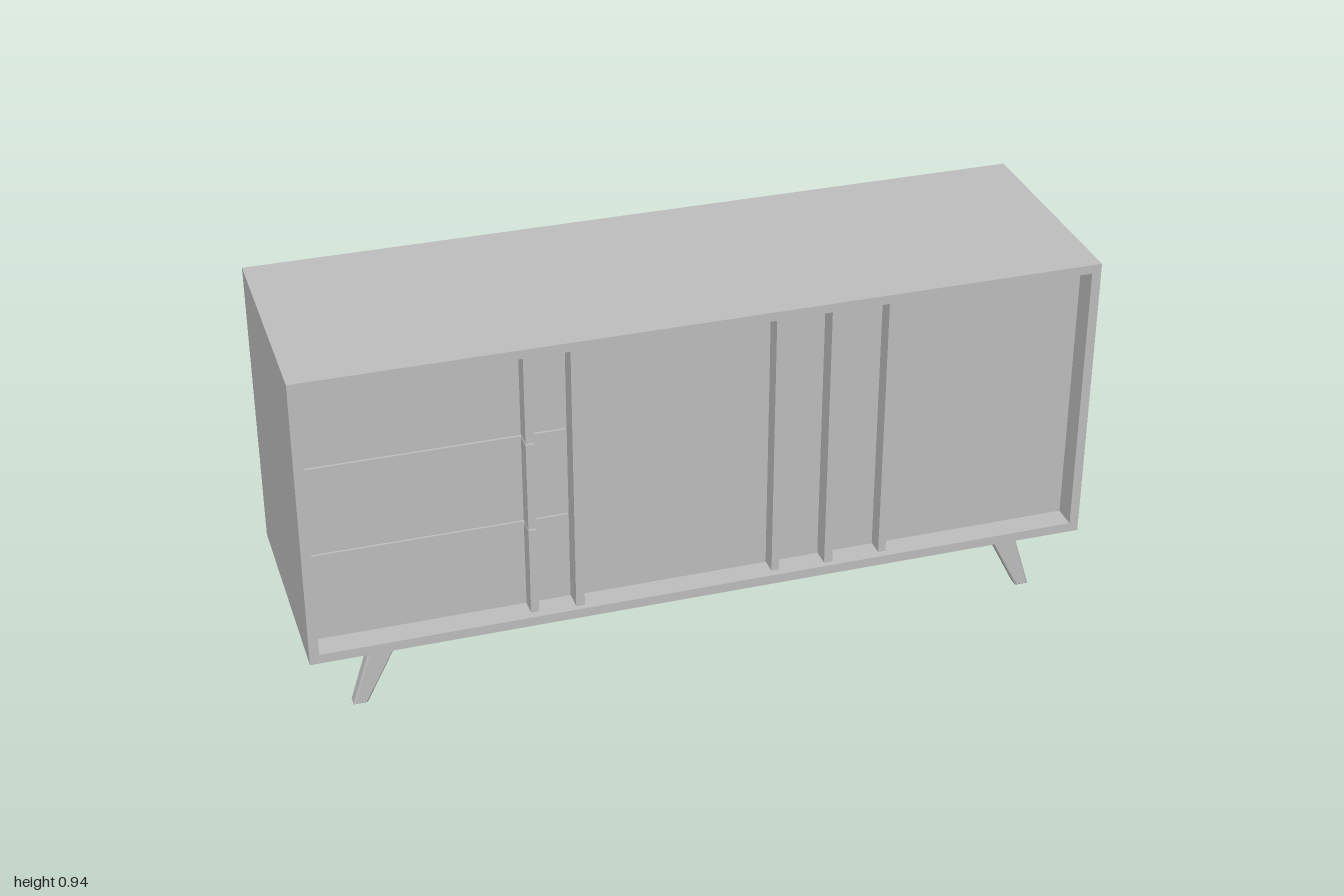
import * as THREE from 'three';

const grey = new THREE.MeshStandardMaterial({ color: 0xbdbdbd });
grey.name = 'plainGrey';

// Box given by its limits on each axis
function slab(group, name, x0, x1, y0, y1, z0, z1) {
  const mesh = new THREE.Mesh(new THREE.BoxGeometry(x1 - x0, y1 - y0, z1 - z0), grey);
  mesh.position.set((x0 + x1) / 2, (y0 + y1) / 2, (z0 + z1) / 2);
  mesh.name = name;
  group.add(mesh);
}

// Tapered leg splaying towards +x, with softened edges
function legGeometry() {
  const shape = new THREE.Shape([[0, 0], [0.035, 0], [-0.02, 0.177], [-0.09, 0.177]]
    .map(([x, y]) => new THREE.Vector2(x, y)));
  const bevel = 0.004, width = 0.034;
  const geo = new THREE.ExtrudeGeometry(shape, {
    depth: width - 2 * bevel, bevelEnabled: true, bevelThickness: bevel,
    bevelSize: bevel, bevelOffset: -bevel, bevelSegments: 1,
  });
  return geo.translate(0, 0, bevel - width / 2);
}

export function createModel() {
  const model = new THREE.Group();
  model.name = 'sideboard';

  // Carcass
  slab(model, 'topBoard', -1, 1, 0.922, 0.945, -0.3, 0.3);
  slab(model, 'bottomBoard', -1, 1, 0.175, 0.2, -0.3, 0.3);
  slab(model, 'rightSide', -1, -0.976, 0.2, 0.922, -0.3, 0.3);
  slab(model, 'leftSide', 0.976, 1, 0.2, 0.922, -0.3, 0.3);
  slab(model, 'backPanel', -0.976, 0.976, 0.2, 0.922, -0.292, -0.275);

  // Uprights between the three bays
  for (const x of [-0.336, 0.31]) {
    slab(model, 'divider', x, x + 0.022, 0.2, 0.922, -0.275, 0.285);
  }

  // Drawers with a stacked run of upright pulls
  const levels = [0.202, 0.443, 0.682, 0.92];
  for (let i = 0; i < 3; i++) {
    const y0 = levels[i] + 0.002, y1 = levels[i + 1] - 0.002;
    slab(model, 'drawerFront', -0.974, -0.338, y0, y1, 0.22, 0.24);
    slab(model, 'drawerPull', -0.45, -0.43, y0, y1, 0.24, 0.285);
  }

  // Doors with full-height pulls
  for (const [x0, x1, pull] of [[-0.313, 0.308, 0.17], [0.333, 0.975, 0.455]]) {
    slab(model, 'door', x0, x1, 0.202, 0.92, 0.22, 0.24);
    slab(model, 'doorPull', pull, pull + 0.02, 0.204, 0.917, 0.24, 0.285);
  }

  // Four corner legs and a middle leg at the back
  const geo = legGeometry();
  const addLeg = (name, x, z, turn) => {
    const leg = new THREE.Mesh(geo, grey);
    leg.position.set(x, 0, z);
    leg.rotation.y = turn;
    leg.name = name;
    model.add(leg);
  };
  for (const z of [0.237, -0.237]) {
    addLeg('leftLeg', 0.86, z, 0);
    addLeg('rightLeg', -0.86, z, Math.PI);
  }
  addLeg('middleBackLeg', 0, -0.258, Math.PI / 2);

  return model;
}
